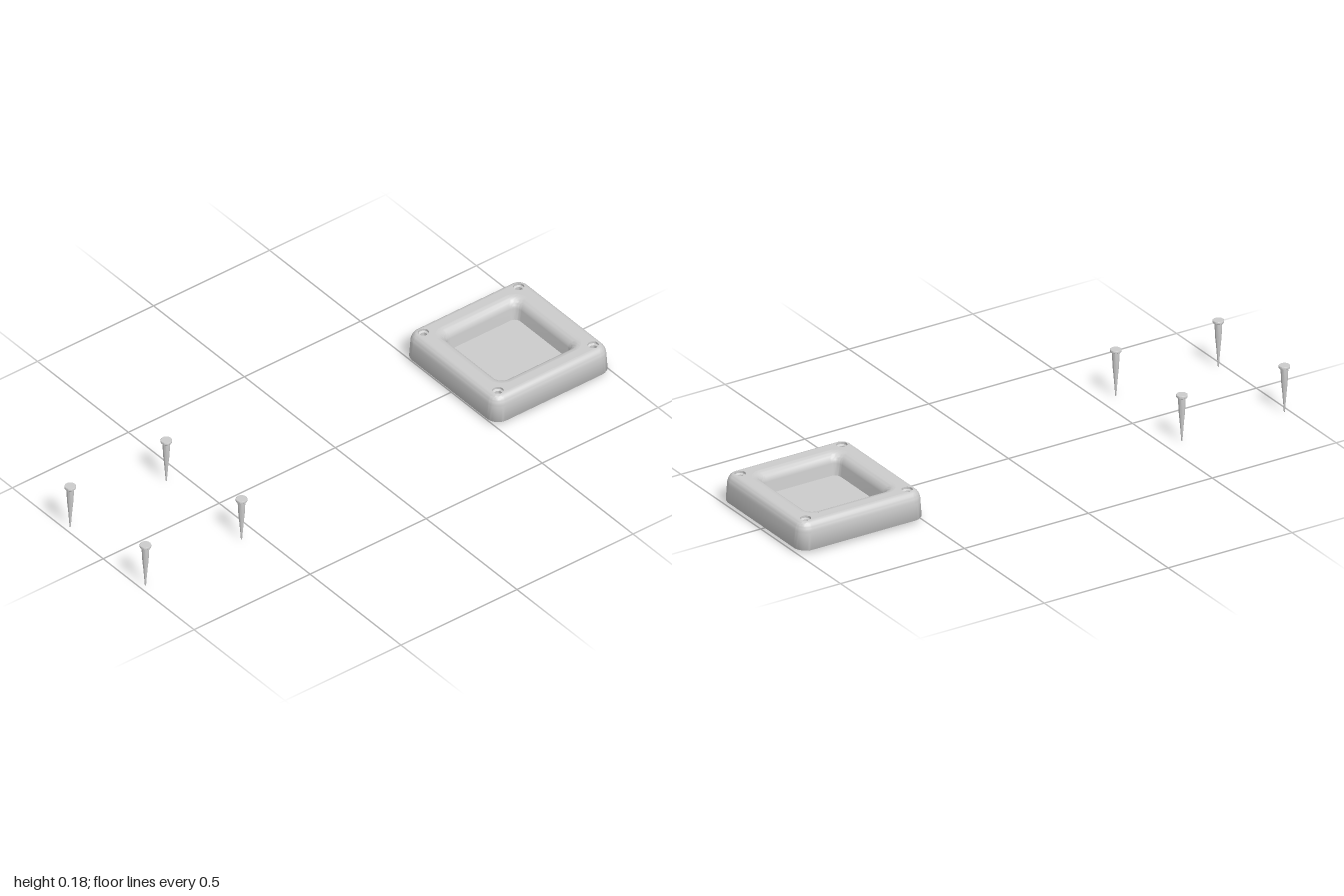
import * as THREE from 'three';
import { toCreasedNormals } from 'three/addons/utils/BufferGeometryUtils.js';

const material = new THREE.MeshStandardMaterial({ color: 0xcccccc, side: THREE.DoubleSide });
const C = 0.205;        // screw hole offset, also the centre of the corner rounding
const HOLE = 0.019;     // countersink radius
const BOSS = 0.021;     // outer radius of the screw posts
const TOP = 0.113, BASE = 0.013, CEILING = 0.101;

function mesh(name, geometry) {
  const m = new THREE.Mesh(geometry, material);
  m.name = name;
  return m;
}

// Skin over rounded-square rings; each row is [half size, corner radius, height]
function loft(rows, seg = 10) {
  const n = 4 * (seg + 1), pos = [], index = [];
  for (const [h, r, y] of rows) {
    for (let q = 0; q < 4; q++) {
      const mid = (q + 0.5) * Math.PI / 2;
      const k = (h - r) * Math.SQRT2;
      for (let s = 0; s <= seg; s++) {
        const a = (q + s / seg) * Math.PI / 2;
        pos.push(k * Math.cos(mid) + r * Math.cos(a), y, -k * Math.sin(mid) - r * Math.sin(a));
      }
    }
  }
  for (let i = 0; i < rows.length - 1; i++) {
    for (let j = 0; j < n; j++) {
      const a = i * n + j, b = i * n + (j + 1) % n;
      index.push(a, b, b + n, a, b + n, a + n);
    }
  }
  const g = new THREE.BufferGeometry();
  g.setAttribute('position', new THREE.Float32BufferAttribute(pos, 3));
  g.setIndex(index);
  return toCreasedNormals(g, 0.7);
}

// Flat square ring whose corners are bitten out by the screw holes
function notchedPlate(bite, innerHalf, innerRadius, y, faceUp) {
  const shape = new THREE.Shape();
  const quarter = Math.PI / 2;
  for (let q = 0; q < 4; q++) {
    const mid = (q + 0.5) * quarter;
    const cx = C * Math.SQRT2 * Math.cos(mid), cy = C * Math.SQRT2 * Math.sin(mid);
    shape.absarc(cx, cy, bite, q * quarter, (q + 1) * quarter - 2 * Math.PI, true);
  }
  const hole = new THREE.Path();
  const k = (innerHalf - innerRadius) * Math.SQRT2;
  for (let q = 0; q < 4; q++) {
    const mid = (q + 0.5) * quarter;
    hole.absarc(k * Math.cos(mid), k * Math.sin(mid), innerRadius, q * quarter, (q + 1) * quarter, false);
  }
  shape.holes.push(hole);
  const g = new THREE.ShapeGeometry(shape, 12);
  g.rotateX(faceUp ? -Math.PI / 2 : Math.PI / 2);
  g.translate(0, y, 0);
  return g;
}

function lathe(points, segments) {
  const g = new THREE.LatheGeometry(points.map(([r, y]) => new THREE.Vector2(r, y)), segments);
  return toCreasedNormals(g, 0.6);
}

function forEachCorner(offset, place) {
  for (const x of [-offset, offset]) for (const z of [-offset, offset]) place(x, z);
}

function createTray() {
  const tray = new THREE.Group();
  tray.name = 'tray';

  // Outer wall: inside face, bottom rim, drafted side and rounded shoulder
  const wall = [[C + BOSS, CEILING], [0.236, 0.09], [0.24, 0.07], [0.243, BASE], [0.252, BASE], [0.254, BASE + 0.003]];
  const shoulder = C + HOLE, sideHalf = 0.25;
  for (let i = 0; i <= 10; i++) {
    const a = i / 10 * Math.PI / 2;
    wall.push([shoulder + (sideHalf - shoulder) * Math.cos(a), 0.073 + (TOP - 0.073) * Math.sin(a)]);
  }
  tray.add(mesh('outerWall', loft(wall.map(([h, y]) => [h, h - C, y]))));

  // Flat top of the rim and the matching hollow side below it
  tray.add(mesh('rimTop', notchedPlate(HOLE, 0.192, 0.055, TOP, true)));
  tray.add(mesh('rimUnderside', notchedPlate(BOSS, 0.172, 0.042, CEILING, false)));

  // Recess: rolled lip, wall and floor
  const recess = [];
  for (let i = 0; i <= 10; i++) {
    const a = i / 10 * Math.PI / 2;
    recess.push([0.192 - 0.036 * Math.sin(a), 0.055 - 0.027 * Math.sin(a), TOP - 0.04 * (1 - Math.cos(a))]);
  }
  recess.push([0.152, 0.024, 0.036], [0, 0, 0.036]);
  tray.add(mesh('recess', loft(recess)));

  // Outside of the recess, seen from below
  tray.add(mesh('recessUnderside', loft([
    [0, 0, 0.025], [0.16, 0.03, 0.025], [0.165, 0.035, 0.08], [0.172, 0.042, CEILING],
  ])));

  // Hollow screw posts with a countersunk top
  const post = lathe([
    [HOLE, TOP], [HOLE, 0.105], [0.013, 0.101], [0.013, BASE + 0.001],
    [BOSS, BASE + 0.001], [BOSS, CEILING],
  ], 32);
  forEachCorner(C, (x, z) => {
    const m = mesh('screwPost', post);
    m.position.set(x, 0, z);
    tray.add(m);
  });
  return tray;
}

function createScrews() {
  const screws = new THREE.Group();
  screws.name = 'screws';
  // Tapered shank with a flat round head
  const screw = lathe([
    [0, 0], [0.0022, 0.003], [0.004, 0.03], [0.0075, 0.075], [0.0108, 0.11], [0.0134, 0.164],
    [0.0134, 0.168], [0.0185, 0.168], [0.0198, 0.1695], [0.0198, 0.1765], [0.0188, 0.178], [0, 0.178],
  ], 28);
  forEachCorner(0.207, (x, z) => {
    const m = mesh('screw', screw);
    m.position.set(x, 0, z);
    screws.add(m);
  });
  return screws;
}

export function createModel() {
  const model = new THREE.Group();
  model.name = 'trayWithScrews';
  const tray = createTray();
  tray.position.x = 0.746;
  const screws = createScrews();
  screws.position.x = -0.773;
  model.add(tray, screws);
  return model;
}
